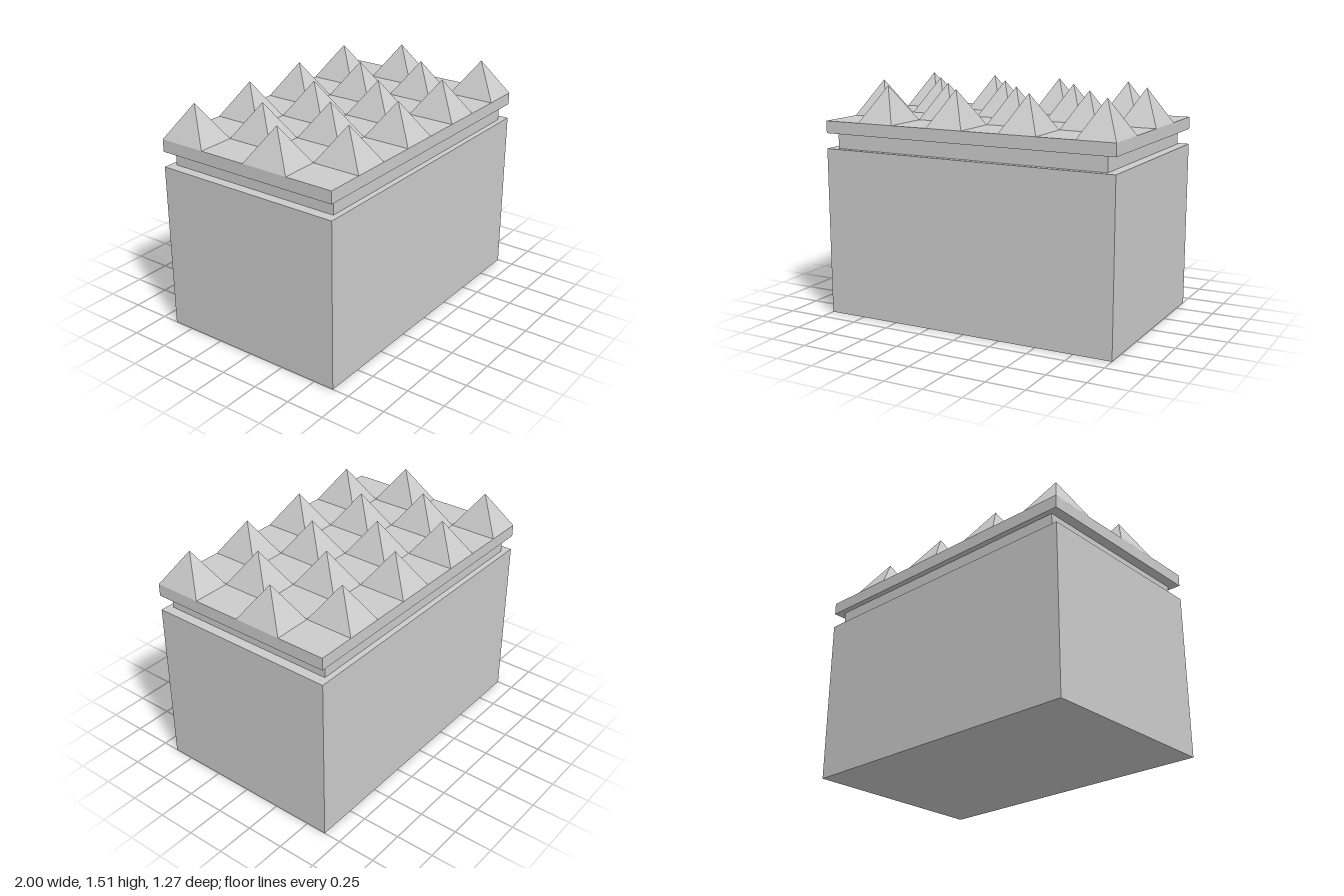
import * as THREE from 'three';

const WIDTH = 2, DEPTH = 1.275;
const COLUMNS = 8, ROWS = 4;
const SLAB_TOP = 1.28, SPIKE_HEIGHT = 0.23;

export function createModel() {
  const group = new THREE.Group();
  const material = new THREE.MeshStandardMaterial({ color: 0xcccccc, flatShading: true });

  // Box standing between two heights
  function addBlock(name, width, depth, bottom, top) {
    const mesh = new THREE.Mesh(new THREE.BoxGeometry(width, top - bottom, depth), material);
    mesh.position.y = (bottom + top) / 2;
    mesh.name = name;
    group.add(mesh);
  }

  addBlock('body', WIDTH, DEPTH, 0, 1.1);
  addBlock('neck', 1.87, 1.2, 1.1, 1.2);
  addBlock('topSlab', WIDTH, DEPTH, 1.2, SLAB_TOP);

  // Four-sided spike filling one cell of the grid
  const cellX = WIDTH / COLUMNS, cellZ = DEPTH / ROWS;
  const spikeGeometry = new THREE.ConeGeometry(Math.SQRT1_2, SPIKE_HEIGHT, 4, 1, true);
  spikeGeometry.rotateY(Math.PI / 4);
  spikeGeometry.scale(cellX, 1, cellZ);
  spikeGeometry.translate(0, SPIKE_HEIGHT / 2, 0);

  // Spikes on alternate cells, like a chequerboard
  const spikes = new THREE.Group();
  spikes.name = 'spikes';
  for (let row = 0; row < ROWS; row++) {
    for (let column = row % 2; column < COLUMNS; column += 2) {
      const spike = new THREE.Mesh(spikeGeometry, material);
      spike.name = 'spike';
      spike.position.set(
        -WIDTH / 2 + (column + 0.5) * cellX,
        SLAB_TOP,
        -DEPTH / 2 + (row + 0.5) * cellZ
      );
      spikes.add(spike);
    }
  }
  group.add(spikes);

  return group;
}
